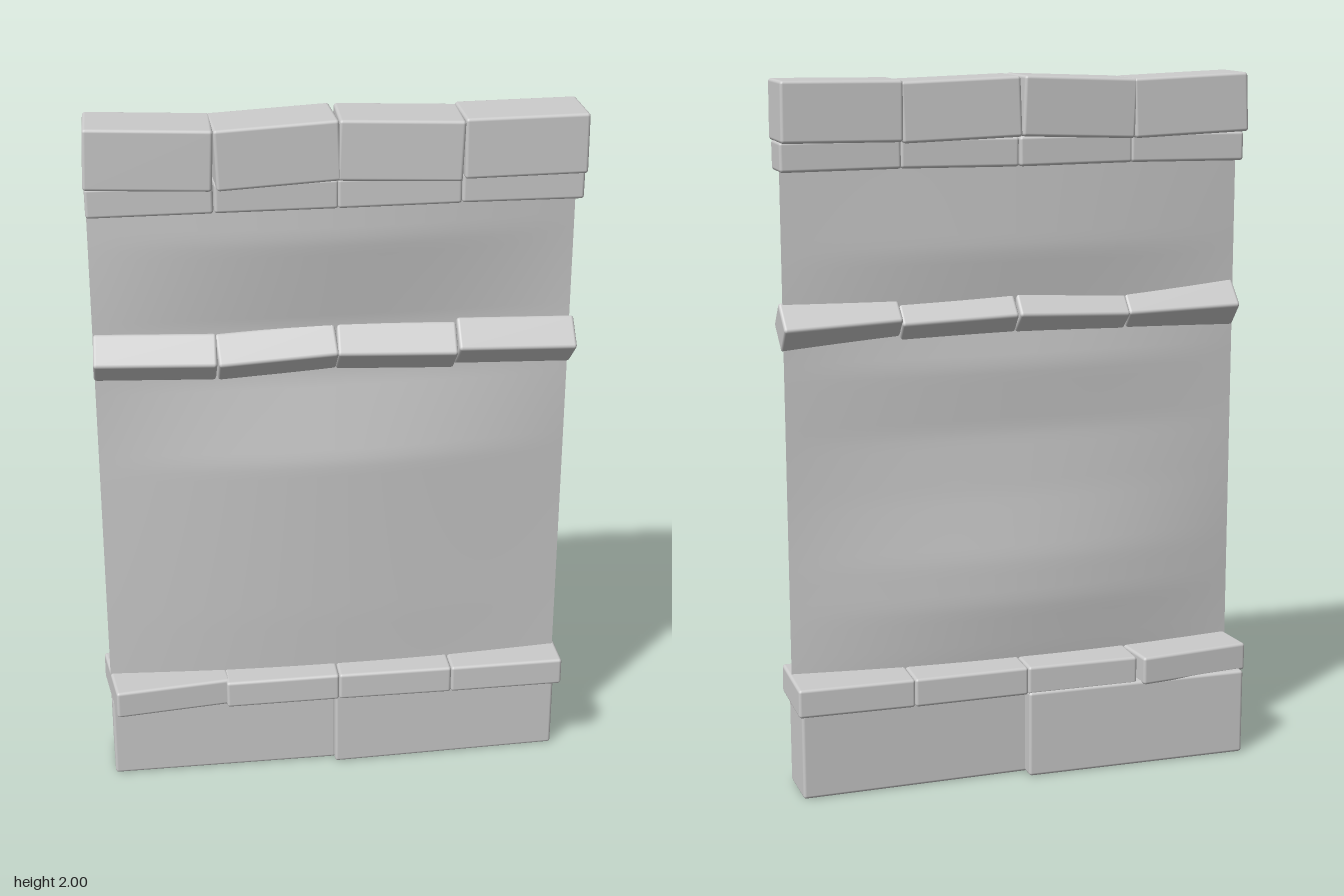
import * as THREE from 'three';
import { RoundedBoxGeometry } from 'three/addons/geometries/RoundedBoxGeometry.js';

const material = new THREE.MeshStandardMaterial({ color: 0xcccccc });
const EDGES = [-0.664, -0.328, 0.003, 0.337, 0.671];

// One softly bevelled beam segment between x0 and x1
function beam(name, x0, x1, y, z, height, depth, { roll = 0, yaw = 0, pitch = 0 } = {}) {
  const mesh = new THREE.Mesh(new RoundedBoxGeometry(x1 - x0, height, depth, 2, 0.009), material);
  mesh.name = name;
  mesh.position.set((x0 + x1) / 2, y, z);
  mesh.rotation.set(pitch, yaw, roll, 'YZX');
  return mesh;
}

// A row of four segments, each with its own small tilt
function beamRow(name, y, z, height, depth, rolls, yaws, pitch = 0) {
  const row = new THREE.Group();
  row.name = name;
  for (let i = 0; i < 4; i++) {
    row.add(beam(name + 'Segment', EDGES[i], EDGES[i + 1], y, z, height, depth,
      { roll: rolls[i], yaw: yaws[i], pitch }));
  }
  return row;
}

// Linear interpolation through [y, z] points
function sample(points, y) {
  let i = 0;
  while (i < points.length - 2 && y > points[i + 1][0]) i++;
  const [y0, z0] = points[i], [y1, z1] = points[i + 1];
  return THREE.MathUtils.mapLinear(y, y0, y1, z0, z1);
}

// Wavy panel: both faces swell gently towards the middle and meet along straight side edges
const PANEL_EDGE_X = 0.6625;
const PANEL_EDGE_Z = 0.02;
const FRONT = [[0.22, 0.044], [0.5, 0.057], [1.0, 0.072], [1.25, 0.033], [1.4, 0.032], [1.66, 0.072], [1.8, 0.07]];
const BACK = [[0.22, -0.01], [0.35, -0.027], [0.5, -0.042], [0.63, -0.038], [0.82, -0.012], [1.0, 0.004],
  [1.19, -0.004], [1.32, 0.013], [1.52, -0.009], [1.8, 0.0]];

function panelFace(name, profile, flip) {
  const geometry = new THREE.PlaneGeometry(2 * PANEL_EDGE_X, 1.58, 32, 60);
  if (flip) geometry.rotateY(Math.PI);
  geometry.translate(0, 1.01, 0);
  const p = geometry.attributes.position;
  for (let i = 0; i < p.count; i++) {
    const swell = Math.cos(p.getX(i) / PANEL_EDGE_X * Math.PI / 2);
    p.setZ(i, THREE.MathUtils.lerp(PANEL_EDGE_Z, sample(profile, p.getY(i)), swell));
  }
  geometry.computeVertexNormals();
  const mesh = new THREE.Mesh(geometry, material);
  mesh.name = name;
  return mesh;
}

export function createModel() {
  const model = new THREE.Group();
  model.name = 'wallSection';

  // Panel
  const panel = new THREE.Group();
  panel.name = 'panel';
  panel.add(panelFace('panelFront', FRONT, false), panelFace('panelBack', BACK, true));
  model.add(panel);

  // Two foundation blocks, slightly out of line
  const base = new THREE.Group();
  base.name = 'base';
  base.add(
    beam('baseRightBlock', -0.662, 0.002, 0.127, -0.041, 0.254, 0.178),
    beam('baseLeftBlock', -0.005, 0.662, 0.127, -0.016, 0.254, 0.16, { yaw: 0.028 }));
  model.add(base);

  // Lower ledge, its first segment knocked askew
  model.add(beamRow('ledge', 0.288, -0.003, 0.083, 0.244,
    [-0.004, 0.004, -0.004, 0.004], [0.115, 0, 0, 0]));

  // Middle rail, a square beam turned on its corner
  model.add(beamRow('middleRail', 1.331, 0.03, 0.1, 0.1,
    [-0.03, 0.04, -0.035, -0.04], [-0.03, 0.03, -0.02, 0.02], Math.PI / 4));

  // Top trim and coping
  model.add(beamRow('topTrim', 1.793, 0.025, 0.082, 0.12,
    [0.008, -0.008, 0.008, -0.008], [-0.025, 0.02, -0.02, 0.0]));
  model.add(beamRow('coping', 1.911, 0.024, 0.165, 0.176,
    [-0.04, 0.04, -0.035, 0.008], [-0.03, 0.035, -0.035, 0.0]));

  return model;
}
